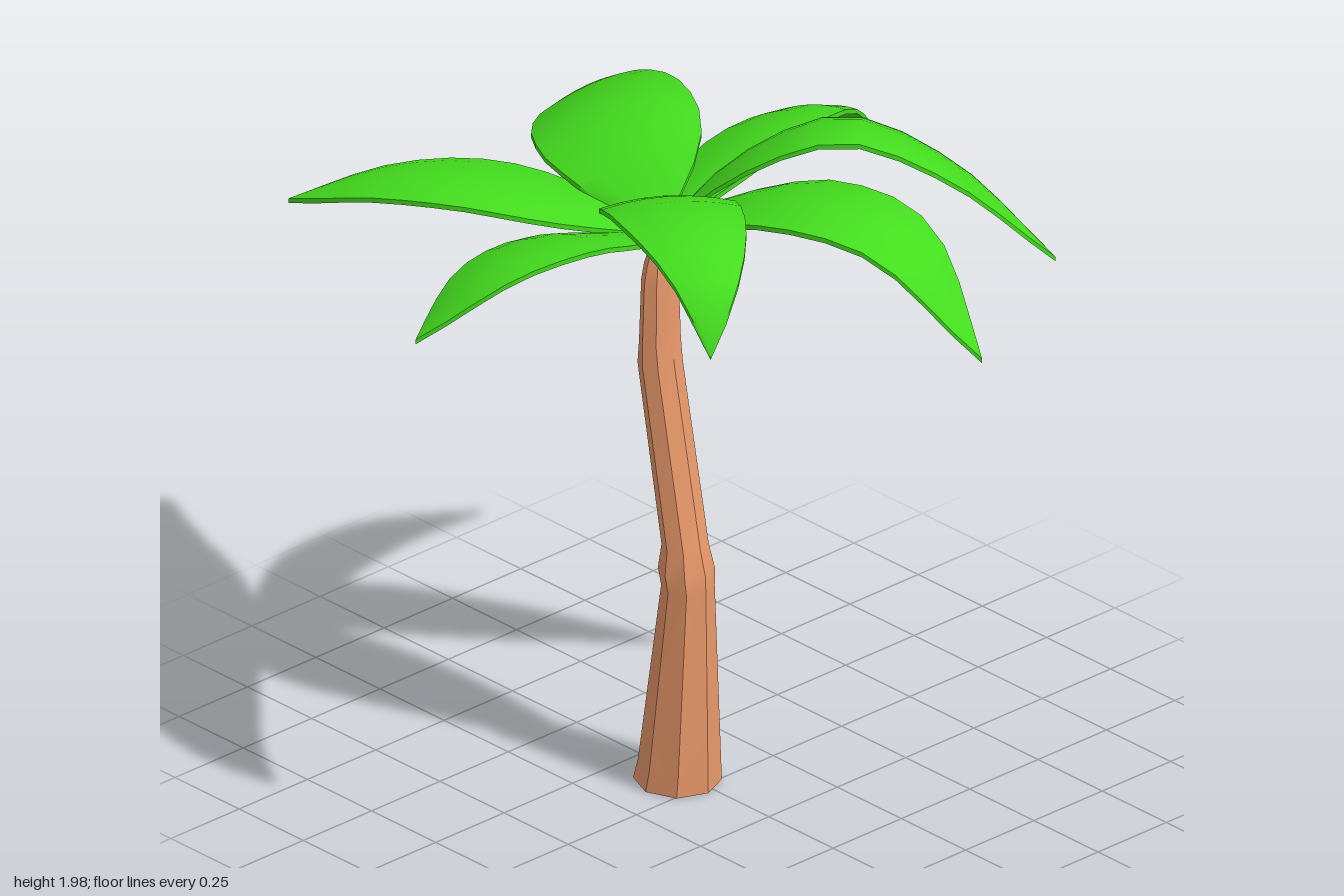
import * as THREE from 'three';
import { toCreasedNormals } from 'three/addons/utils/BufferGeometryUtils.js';

const ROOT = [-0.15, 1.62, 0.03];
const ROWS = 12, COLS = 6, THICKNESS = 0.014;
// Half-width along a frond, as a share of its greatest width
const OUTLINE = [0.05, 0.36, 0.63, 0.83, 0.95, 1, 0.98, 0.92, 0.81, 0.66, 0.47, 0.25, 0];

// Trunk rings from bottom to top: y, centre x, centre z, radius x, radius z
const TRUNK = [
  [0, -0.08, 0.025, 0.12, 0.117],
  [0.06, -0.071, 0.026, 0.111, 0.111],
  [0.6, -0.034, 0.03, 0.07, 0.073],
  [0.65, -0.04, 0.03, 0.074, 0.078],
  [0.72, -0.045, 0.03, 0.06, 0.066],
  [1.23, -0.142, 0.03, 0.057, 0.064],
  [1.3, -0.143, 0.03, 0.047, 0.064],
  [1.48, -0.143, 0.03, 0.043, 0.057],
  [1.53, -0.142, 0.031, 0.038, 0.047],
  [1.64, -0.142, 0.032, 0.006, 0.007],
];

// Fronds: points of the midrib after the root, half-width, sideways tilt
const FRONDS = [
  { rib: [[-0.2, 1.7, -0.2], [-0.215, 1.76, -0.42], [-0.24, 1.73, -0.64], [-0.28, 1.56, -0.88]], half: 0.15, tilt: 0.35 },
  { rib: [[0.0, 1.84, -0.13], [0.21, 1.965, -0.31], [0.42, 1.85, -0.5], [0.6, 1.56, -0.72]], half: 0.155, tilt: 0.25 },
  { rib: [[0.05, 1.77, 0.02], [0.35, 1.89, -0.04], [0.65, 1.86, -0.11], [0.91, 1.57, -0.16]], half: 0.165, tilt: 0 },
  { rib: [[0.01, 1.83, 0.18], [0.24, 1.96, 0.33], [0.48, 1.96, 0.47], [0.59, 1.89, 0.54], [0.64, 1.74, 0.58]], half: 0.18, tilt: 0 },
  { rib: [[-0.12, 1.7, 0.24], [-0.11, 1.765, 0.45], [-0.135, 1.74, 0.67], [-0.19, 1.58, 0.88]], half: 0.17, tilt: -0.3 },
  { rib: [[-0.32, 1.71, 0.18], [-0.52, 1.76, 0.34], [-0.72, 1.74, 0.5], [-0.92, 1.65, 0.66]], half: 0.19, tilt: -0.12 },
  { rib: [[-0.28, 1.79, -0.03], [-0.45, 1.84, -0.08], [-0.63, 1.8, -0.17], [-0.81, 1.68, -0.33]], half: 0.2, tilt: 0.37 },
];

// Tapered, bent trunk: an eight-sided cylinder moved onto the rings
function trunkGeometry() {
  const n = TRUNK.length - 1;
  const geo = new THREE.CylinderGeometry(1, 1, 1, 8, n);
  const pos = geo.attributes.position;
  for (let i = 0; i < pos.count; i++) {
    const [y, cx, cz, rx, rz] = TRUNK[Math.round((pos.getY(i) + 0.5) * n)];
    pos.setXYZ(i, cx + pos.getX(i) * rx, y, cz + pos.getZ(i) * rz);
  }
  return toCreasedNormals(geo, 0.6);
}

// Thin closed blade: an arched cross-section carried along the midrib
function frondGeometry({ rib, half, tilt }) {
  const points = [ROOT, ...rib].map((p) => new THREE.Vector3(...p));
  const curve = new THREE.CatmullRomCurve3(points);
  const dir = points[points.length - 1].clone().sub(points[0]).setY(0).normalize();
  const side = new THREE.Vector3(-dir.z, 0, dir.x);
  const ring = 2 * (COLS + 1);
  const verts = [], index = [];
  for (let r = 0; r <= ROWS; r++) {
    const c = curve.getPointAt(r / ROWS);
    const w = half * OUTLINE[r];
    for (let k = 0; k < ring; k++) {
      const under = k > COLS;
      const s = ((under ? ring - 1 - k : k) / COLS) * 2 - 1;
      const y = c.y + w * (s * tilt - 0.15 * s * s) - (under ? THICKNESS : 0);
      verts.push(c.x + side.x * w * s, y, c.z + side.z * w * s);
      if (r < ROWS) {
        const a = r * ring + k, b = r * ring + ((k + 1) % ring);
        index.push(a, b, a + ring, b, b + ring, a + ring);
      }
    }
  }
  const geo = new THREE.BufferGeometry();
  geo.setAttribute('position', new THREE.Float32BufferAttribute(verts, 3));
  geo.setIndex(index);
  return toCreasedNormals(geo, 0.8);
}

export function createModel() {
  const model = new THREE.Group();
  model.name = 'palmTree';
  const bark = new THREE.MeshStandardMaterial({ color: 0xe8986a });
  const leaf = new THREE.MeshStandardMaterial({ color: 0x44dd1e, side: THREE.DoubleSide });

  const trunk = new THREE.Mesh(trunkGeometry(), bark);
  trunk.name = 'trunk';
  model.add(trunk);

  const crown = new THREE.Group();
  crown.name = 'crown';
  FRONDS.forEach((spec, i) => {
    const frond = new THREE.Mesh(frondGeometry(spec), leaf);
    frond.name = `frond${i + 1}`;
    crown.add(frond);
  });
  model.add(crown);
  return model;
}
